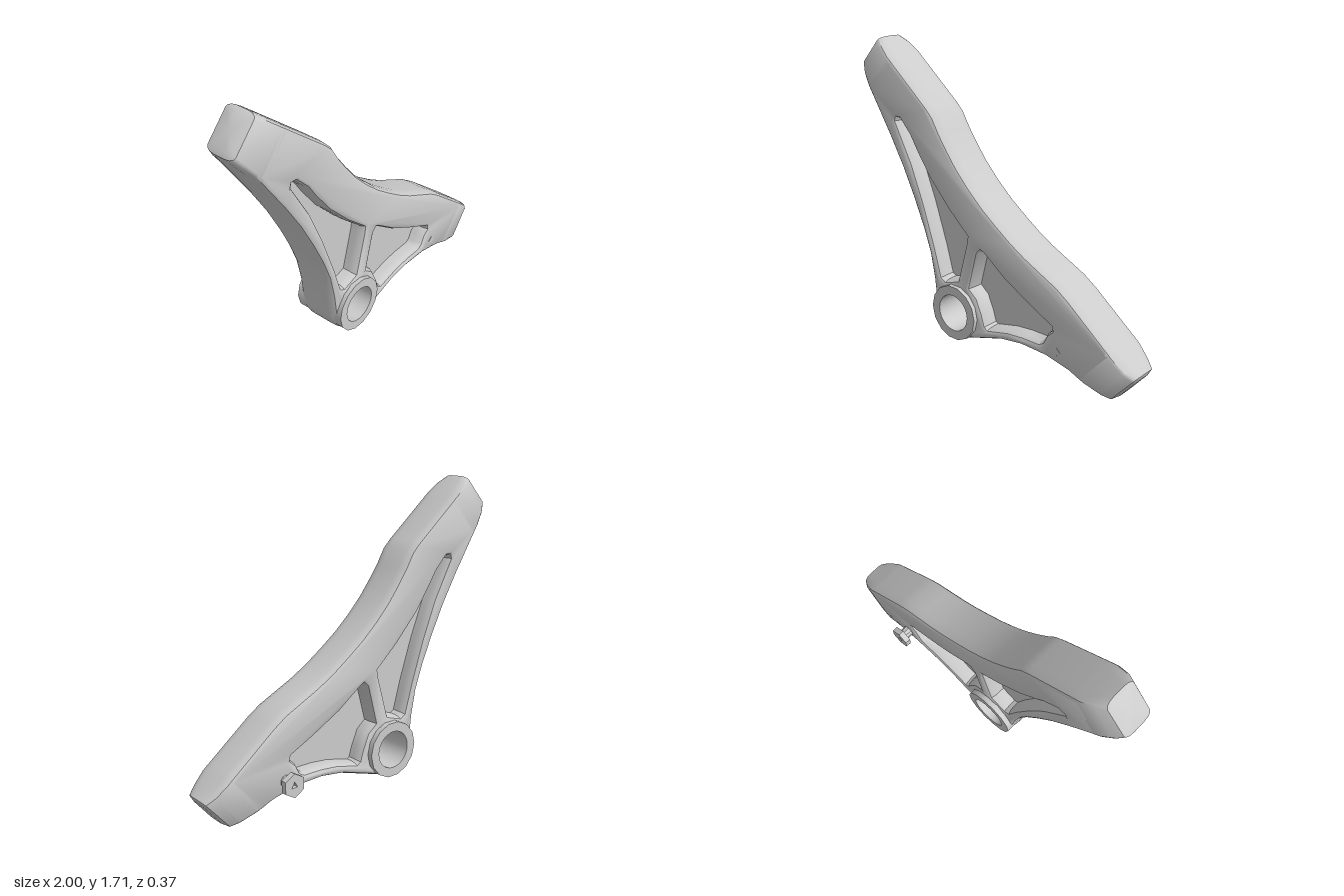
import * as THREE from 'three';
import { toCreasedNormals } from 'three/addons/utils/BufferGeometryUtils.js';

const MID = 0.022;           // middle plane of the bracket in z
const HALF = 0.1325;         // half of the bracket's thickness
const BOSS = [-0.21, 0.19];  // pivot centre
const ROUND = { size: 0.028, depth: 0.06 }; // edge rounding in the outline plane and in z

const grey = new THREE.MeshStandardMaterial({ color: 0xcccccc });
const points = (list) => list.map(([x, y]) => new THREE.Vector2(x, y));
const circle = (cx, cy, r, n, turn = 0) => Array.from({ length: n }, (_, i) => {
  const a = turn + (i / n) * Math.PI * 2;
  return [cx + r * Math.cos(a), cy + r * Math.sin(a)];
});

// Holes are wound anticlockwise so that their walls face into the opening
function shapeOf(outline, holes = []) {
  const shape = new THREE.Shape(points(outline));
  shape.holes = holes.map((h) => {
    const pts = points(h);
    return new THREE.Path(THREE.ShapeUtils.isClockWise(pts) ? pts.reverse() : pts);
  });
  return shape;
}

// Extrude between two z planes; the rounding cuts inwards so the outline stays true
function slab(shape, z0, z1, rounding = { size: 0, depth: 0 }) {
  const geo = new THREE.ExtrudeGeometry(shape, {
    depth: z1 - z0 - 2 * rounding.depth, bevelEnabled: rounding.size > 0, bevelSegments: 3,
    bevelSize: rounding.size, bevelOffset: -rounding.size, bevelThickness: rounding.depth,
  });
  return geo.translate(0, 0, z0 + rounding.depth);
}

// Arm tip lofted through rounded sections [ax, ay, bx, by, half thickness], closed at the last
function tipGeometry(sections) {
  const pos = [], index = [], n = 16;
  for (const [ax, ay, bx, by, h] of sections) {
    const w = Math.hypot(ax - bx, ay - by) / 2;
    const rz = Math.min(ROUND.depth, h * 0.6);
    for (let j = 0; j < n; j++) {
      const corner = Math.floor(j / 4);
      const a = ((corner + (j % 4) / 3) * Math.PI) / 2;
      const sideW = corner === 0 || corner === 3 ? 1 : -1;
      const sideZ = corner < 2 ? 1 : -1;
      const k = (sideW * (w - ROUND.size) + ROUND.size * Math.cos(a)) / w;
      const z = sideZ * (h - rz) + rz * Math.sin(a);
      pos.push((ax + bx) / 2 + (k * (ax - bx)) / 2, (ay + by) / 2 + (k * (ay - by)) / 2, MID + z);
    }
  }
  const last = sections.length - 1;
  for (let j = 0; j < n; j++) {
    const next = (j + 1) % n;
    for (let i = 0; i < last; i++) {
      const p = i * n + j, q = i * n + next;
      index.push(p, q, p + n, q, q + n, p + n);
    }
    index.push((last + 1) * n, last * n + j, last * n + next);
  }
  const [ax, ay, bx, by] = sections[last];
  pos.push((ax + bx) / 2, (ay + by) / 2, MID);
  const geo = new THREE.BufferGeometry();
  geo.setAttribute('position', new THREE.Float32BufferAttribute(pos, 3));
  geo.setIndex(index);
  return geo;
}

function addMesh(group, name, geo) {
  const mesh = new THREE.Mesh(toCreasedNormals(geo, 0.6), grey);
  mesh.name = name;
  group.add(mesh);
}

export function createModel() {
  const group = new THREE.Group();
  group.name = 'pivotBracket';

  // Outline: upper arm, curved back, lower arm, underside, round the pivot, inner side
  const pivotArc = Array.from({ length: 11 }, (_, i) => {
    const a = ((-75 - i * 10) * Math.PI) / 180;
    return [BOSS[0] + 0.172 * Math.cos(a), BOSS[1] + 0.172 * Math.sin(a)];
  });
  const outline = [
    [-0.909, 1.414], [-0.725, 1.624],
    [-0.42, 1.37], [-0.37, 1.32], [-0.32, 1.235], [-0.26, 1.15], [-0.19, 1.06], [-0.1, 0.965],
    [0, 0.875], [0.1, 0.80], [0.2, 0.73], [0.3, 0.67], [0.41, 0.615], [0.52, 0.56], [0.60, 0.505],
    [0.889, 0.272], [0.699, 0.056],
    [0.6, 0.095], [0.45, 0.128], [0.28, 0.135], [0.13, 0.115],
    ...pivotArc,
    [-0.40, 0.35], [-0.43, 0.50], [-0.48, 0.64], [-0.555, 0.81], [-0.64, 0.98], [-0.74, 1.15],
  ];
  const upperPocket = [
    [-0.675, 1.25], [-0.67, 1.265], [-0.65, 1.265], [-0.57, 1.18], [-0.52, 1.10], [-0.42, 0.96],
    [-0.27, 0.80], [-0.13, 0.675], [-0.135, 0.64], [-0.205, 0.39], [-0.30, 0.36], [-0.325, 0.375],
    [-0.375, 0.55], [-0.46, 0.80], [-0.55, 1.02],
  ];
  const lowerPocket = [
    [-0.04, 0.59], [-0.02, 0.61], [0, 0.60], [0.15, 0.49], [0.33, 0.39], [0.48, 0.315],
    [0.485, 0.295], [0.45, 0.265], [0.425, 0.215], [0.40, 0.20], [0.29, 0.20], [0.18, 0.19],
    [0.03, 0.155], [0.015, 0.165], [-0.005, 0.23], [-0.045, 0.32], [-0.10, 0.365],
  ];

  // Ribbed frame, open at both pockets and the pivot
  const frame = shapeOf(outline, [upperPocket, lowerPocket, circle(...BOSS, 0.112, 24)]);
  addMesh(group, 'frame', slab(frame, MID - HALF, MID + HALF, ROUND));

  // Rounded ends of the two arms, overlapping the frame
  addMesh(group, 'upperTip', tipGeometry([
    [-0.879, 1.368, -0.686, 1.592, HALF], [-0.909, 1.414, -0.725, 1.624, HALF],
    [-0.962, 1.484, -0.792, 1.680, 0.116], [-0.998, 1.535, -0.835, 1.712, 0.09],
    [-0.988, 1.56, -0.86, 1.702, 0.055],
  ]));
  addMesh(group, 'lowerTip', tipGeometry([
    [0.853, 0.302, 0.65, 0.075, HALF], [0.889, 0.272, 0.699, 0.056, HALF],
    [0.953, 0.214, 0.80, 0.018, 0.116], [0.998, 0.178, 0.845, 0.0, 0.09],
    [0.992, 0.155, 0.877, 0.018, 0.055],
  ]));

  // Thin webs closing the pockets halfway through
  addMesh(group, 'upperWeb', slab(shapeOf(upperPocket), MID - 0.035, MID + 0.035));
  addMesh(group, 'lowerWeb', slab(shapeOf(lowerPocket), MID - 0.035, MID + 0.035));

  // Pivot sleeve standing proud on both sides
  const sleeve = shapeOf(circle(...BOSS, 0.167, 14), [circle(...BOSS, 0.11, 32)]);
  addMesh(group, 'pivotSleeve', slab(sleeve, -0.143, 0.18));

  // Adjusting screw: stem through the arm and a hexagonal socket head at the back
  const stem = new THREE.CylinderGeometry(0.035, 0.035, 0.15, 10).rotateX(Math.PI / 2);
  addMesh(group, 'screwStem', stem.translate(0.53, 0.19, -0.09));
  const head = shapeOf(circle(0.53, 0.19, 0.068, 6, Math.PI / 6), [circle(0.53, 0.19, 0.022, 3, Math.PI / 2)]);
  addMesh(group, 'screwHead', slab(head, -0.19, -0.155));
  const tip = new THREE.CylinderGeometry(0.025, 0.025, 0.04, 4).rotateX(Math.PI / 2);
  addMesh(group, 'screwTip', tip.translate(0.53, 0.19, 0.137));

  return group;
}
